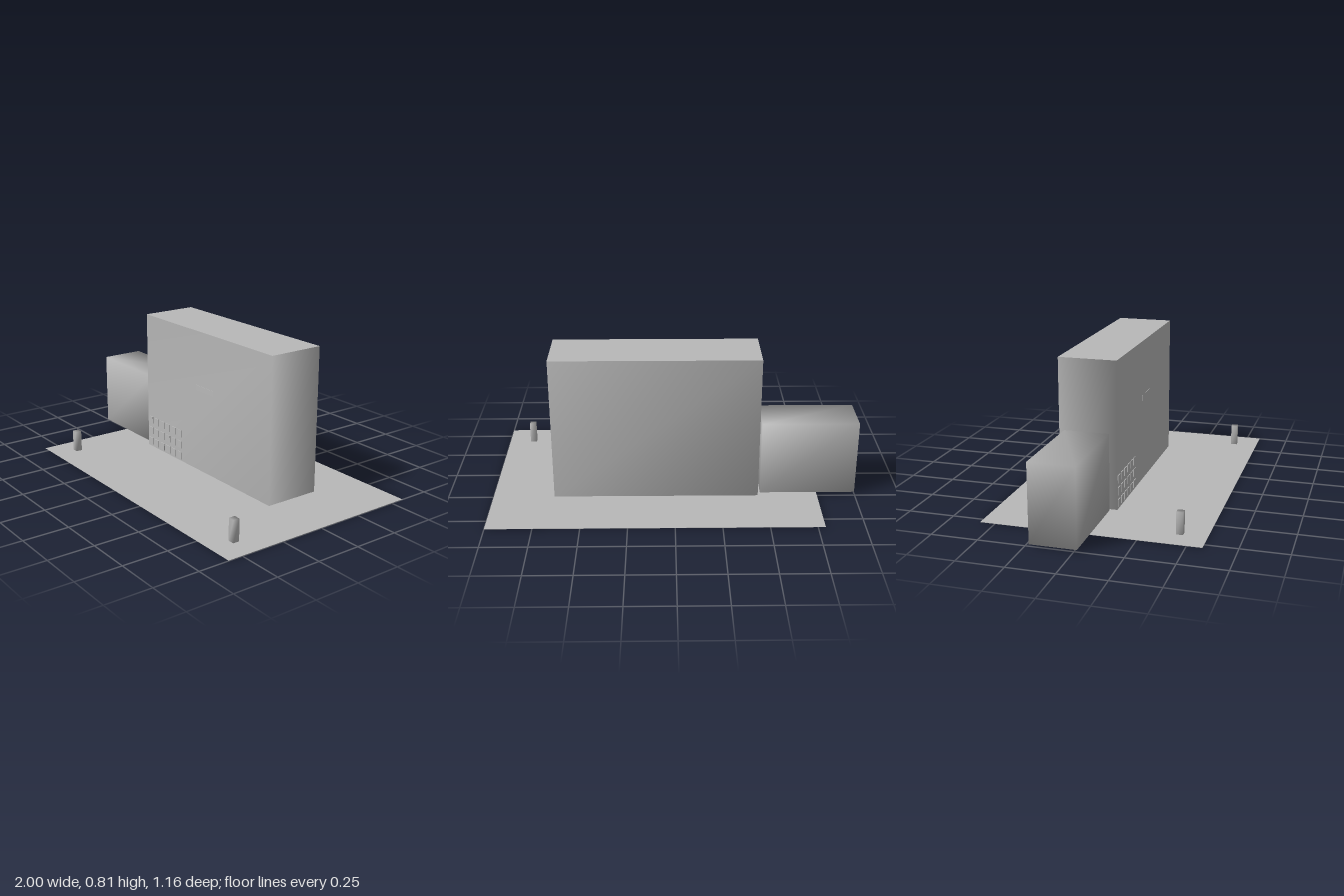
import * as THREE from 'three';
import { mergeVertices } from 'three/addons/utils/BufferGeometryUtils.js';

// Box given by its corner limits
function boxBetween([x0, y0, z0], [x1, y1, z1]) {
  return new THREE.BoxGeometry(x1 - x0, y1 - y0, z1 - z0)
    .translate((x0 + x1) / 2, (y0 + y1) / 2, (z0 + z1) / 2);
}

// Share the corners so that shading runs smoothly round them
function smooth(geometry) {
  geometry.deleteAttribute('normal');
  geometry.deleteAttribute('uv');
  const merged = mergeVertices(geometry);
  merged.computeVertexNormals();
  return merged;
}

export function createModel() {
  const model = new THREE.Group();
  const grey = new THREE.MeshStandardMaterial({ color: 0xb8b8b8 });
  grey.name = 'plain grey';

  const add = (name, geometry, parent = model) => {
    const mesh = new THREE.Mesh(geometry, grey);
    mesh.name = name;
    parent.add(mesh);
    return mesh;
  };

  // Flat site slab
  add('groundSlab', boxBetween([-0.79, 0, -0.58], [1, 0.002, 0.58]));

  // Main block: smooth-shaded walls, with a flat roof and floor
  const building = new THREE.Group();
  building.name = 'mainBuilding';
  model.add(building);
  const [x0, x1, y0, y1, z0, z1] = [-0.46, 0.662, 0.01, 0.815, -0.262, 0.053];
  const walls = boxBetween([x0, y0, z0], [x1, y1, z1]);
  const index = Array.from(walls.index.array);
  walls.setIndex([...index.slice(0, 12), ...index.slice(24)]); // leave out top and bottom
  add('walls', smooth(walls), building);
  for (const [name, y, turn] of [['roof', y1, -1], ['floor', y0, 1]]) {
    const panel = new THREE.PlaneGeometry(x1 - x0, z1 - z0, 4, 2).rotateX(turn * Math.PI / 2);
    add(name, panel.translate((x0 + x1) / 2, y, (z0 + z1) / 2), building);
  }

  // Sign plate on the front
  add('signPlate', boxBetween([0.025, 0.476, z1 - 0.003], [0.184, 0.508, z1 + 0.002]), building);

  // Rows of small windows low on the front
  const windows = new THREE.Group();
  windows.name = 'windows';
  building.add(windows);
  for (let row = 0; row < 3; row++) {
    for (let column = 0; column < 6; column++) {
      const x = -0.45 + column * 0.059;
      const y = 0.022 + row * 0.067;
      add('window', boxBetween([x, y, z1 - 0.003], [x + 0.04, y + 0.042, z1 + 0.004]), windows);
    }
  }

  // Lower side block, smooth all over
  add('sideBuilding', smooth(boxBetween([-1, 0.01, -0.23], [-0.475, 0.43, 0.015])));

  // Two short posts at the front
  for (const x of [-0.652, 0.857]) {
    add('post', smooth(boxBetween([x - 0.018, 0, 0.42], [x + 0.018, 0.122, 0.456])));
  }

  return model;
}
